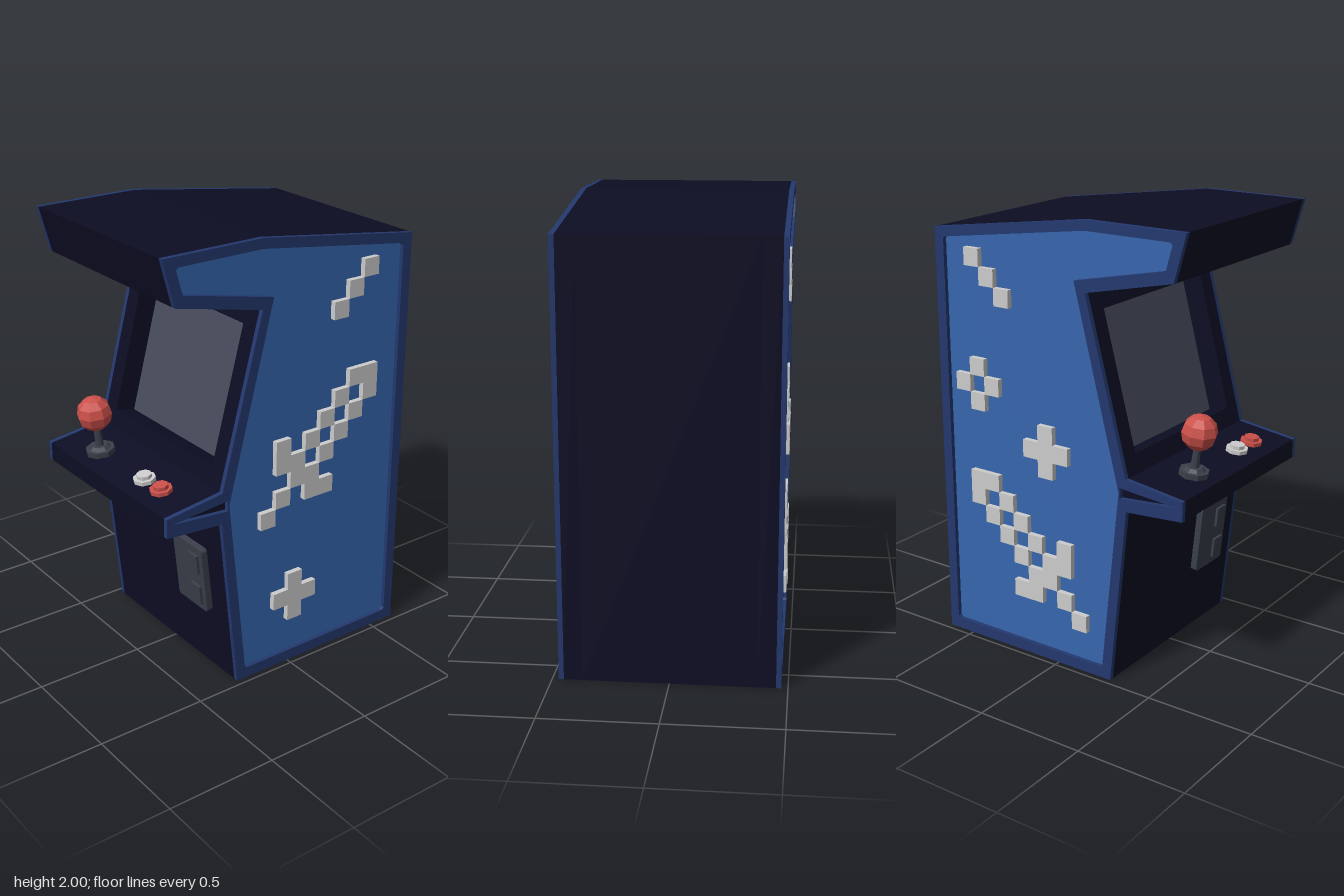
import * as THREE from 'three';

const mat = (name, color) => {
  const m = new THREE.MeshStandardMaterial({ color, flatShading: true });
  m.name = name;
  return m;
};

export function createModel() {
  const navy = mat('dark navy', 0x0d0d24);
  const trimBlue = mat('trim blue', 0x23386e);
  const panelBlue = mat('panel blue', 0x3766ae);
  const pale = mat('pale grey', 0xcccccc);
  const glass = mat('screen grey', 0x464b5a);
  const metal = mat('dark metal', 0x3a3f4a);
  const red = mat('red', 0xcc504a);

  const model = new THREE.Group();
  model.name = 'arcadeCabinet';

  const add = (parent, name, geometry, material, x = 0, y = 0, z = 0) => {
    const mesh = new THREE.Mesh(geometry, material);
    mesh.name = name;
    mesh.position.set(x, y, z);
    parent.add(mesh);
    return mesh;
  };
  const pts = (list) => list.map(([z, y]) => new THREE.Vector2(z, y));
  // Extrudes a (z, y) outline along x from x0 to x1
  const slab = (outline, x0, x1, holes = []) => {
    const shape = new THREE.Shape(pts(outline));
    holes.forEach((h) => shape.holes.push(new THREE.Path(pts(h))));
    const g = new THREE.ExtrudeGeometry(shape, { depth: x1 - x0, bevelEnabled: false });
    return g.rotateY(-Math.PI / 2).translate(x1, 0, 0);
  };

  // Side profile: lower front, control shelf, screen slope, canopy, back
  const slopeLow = [0.36, 0.95];
  const slopeHigh = [0.16, 1.705];
  const lower = [[-0.633, 0], [0.28, 0], [0.363, 0.808], [0.637, 0.828], [0.637, 0.914], slopeLow];
  const upper = [slopeHigh, [0.582, 1.798], [0.637, 2], [0.16, 2], [-0.633, 1.888]];
  const outline = [...lower, ...upper];

  // Screen recess cut square to the slope
  const slope = new THREE.Vector2(slopeHigh[0] - slopeLow[0], slopeHigh[1] - slopeLow[1]).normalize();
  const depth = 0.1;
  const onSlope = (y) => [slopeLow[0] + ((y - slopeLow[1]) * slope.x) / slope.y, y];
  const inset = ([z, y]) => [z - slope.y * depth, y + slope.x * depth];
  const r0 = onSlope(1.03), r1 = onSlope(1.625);
  const notched = [...lower, r0, inset(r0), inset(r1), r1, ...upper];

  // Body in three slices, the middle one holding the recess
  add(model, 'bodyCentre', slab(notched, -0.37, 0.37), navy);
  add(model, 'bodyLeft', slab(outline, 0.37, 0.45), navy);
  add(model, 'bodyRight', slab(outline, -0.45, -0.37), navy);

  // Screen on the floor of the recess
  const a = inset(r0), b = inset(r1);
  const screen = add(model, 'screen',
    new THREE.BoxGeometry(0.738, Math.hypot(b[0] - a[0], b[1] - a[1]) - 0.002, 0.008),
    glass, 0, (a[1] + b[1]) / 2, (a[0] + b[0]) / 2);
  screen.rotation.x = Math.atan2(slope.x, slope.y);

  // Raised trim frames around the recessed side panels
  const panel = [[-0.575, 0.05], [0.228, 0.05], [0.238, 0.058], [0.325, 0.885], [0.105, 1.748],
    [0.545, 1.842], [0.574, 1.945], [0.565, 1.956], [0.16, 1.956], [-0.58, 1.85],
    [-0.587, 1.84], [-0.587, 0.06]];
  const shelfGap = [[0.61, 0.884], [0.331, 0.908], [0.331, 0.86]];
  for (const [side, s] of [['left', 1], ['right', -1]]) {
    const span = (p, q) => (s > 0 ? [p, q] : [-q, -p]);
    add(model, side + 'Trim', slab(outline, ...span(0.45, 0.472), [panel, shelfGap]), trimBlue);
    add(model, side + 'Panel', slab(panel, ...span(0.449, 0.453)), panelBlue);
  }

  // Raised square-block decorations; rows run down, columns run from front to back
  const cell = 0.0785;
  const blade = ['......##', '.....#.#', '....#.#.', '.#.#.#..', '.##.#...', '..##....', '.#.##...', '#.......'];
  const cross = ['.#.', '###', '.#.'];
  const ring = ['.#.', '#.#', '.#.'];
  const rising = ['..#', '.#.', '#..'];
  const blocks = (name, rows, s, zFront, yTop) => {
    const group = new THREE.Group();
    group.name = name;
    rows.forEach((row, r) => [...row].forEach((c, i) => {
      if (c !== '#') return;
      add(group, 'block', new THREE.BoxGeometry(0.028, cell, cell), pale,
        s * 0.464, yTop - (r + 0.5) * cell, zFront - (i + 0.5) * cell);
    }));
    model.add(group);
  };
  blocks('leftSword', blade, 1, 0.162, 1.342);
  blocks('leftSparks', rising, 1, -0.212, 1.82);
  blocks('leftCross', cross, 1, 0.086, 0.45);
  blocks('rightSword', blade, -1, 0.158, 0.82);
  blocks('rightSparks', rising, -1, -0.235, 1.82);
  blocks('rightRing', ring, -1, -0.3, 1.34);
  blocks('rightCross', cross, -1, 0.065, 1.1);

  // Coin door leaning with the lower front
  const door = new THREE.Group();
  door.name = 'coinDoor';
  door.position.set(0.228, 0.467, 0.328);
  door.rotation.x = Math.atan2(0.083, 0.808);
  const w = 0.107, h = 0.158, r = 0.014;
  const plate = new THREE.Shape();
  plate.absarc(w - r, h - r, r, 0, Math.PI / 2);
  plate.absarc(r - w, h - r, r, Math.PI / 2, Math.PI);
  plate.absarc(r - w, r - h, r, Math.PI, Math.PI * 1.5);
  plate.absarc(w - r, r - h, r, Math.PI * 1.5, Math.PI * 2);
  add(door, 'doorPlate', new THREE.ExtrudeGeometry(plate, { depth: 0.03, bevelEnabled: false, curveSegments: 3 }), metal);
  for (const y of [0.078, -0.079]) {
    add(door, 'coinSlot', new THREE.BoxGeometry(0.068, 0.09, 0.022), metal, 0.047, y, 0.031);
  }
  model.add(door);

  // Controls standing square to the sloping shelf
  const control = (name, x) => {
    const group = new THREE.Group();
    group.name = name;
    group.position.set(x, 0.928, 0.525);
    group.rotation.x = Math.atan2(0.036, 0.277);
    model.add(group);
    return group;
  };
  const disc = (top, bottom, height) => new THREE.CylinderGeometry(top, bottom, height, 8);
  const stick = control('joystick', -0.21);
  add(stick, 'stickBase', disc(0.066, 0.066, 0.024), metal, 0, 0.012, 0);
  add(stick, 'stickCollar', disc(0.035, 0.05, 0.014), metal, 0, 0.031, 0);
  add(stick, 'stickShaft', disc(0.015, 0.02, 0.12), metal, 0, 0.09, 0);
  add(stick, 'stickBall', new THREE.SphereGeometry(0.079, 8, 6), red, 0, 0.194, 0);
  for (const [name, x, m] of [['whiteButton', 0.142, pale], ['redButton', 0.267, red]]) {
    const button = control(name, x);
    add(button, 'buttonRim', disc(0.05, 0.05, 0.018), m, 0, 0.009, 0);
    add(button, 'buttonCap', disc(0.034, 0.034, 0.016), m, 0, 0.026, 0);
  }
  return model;
}
